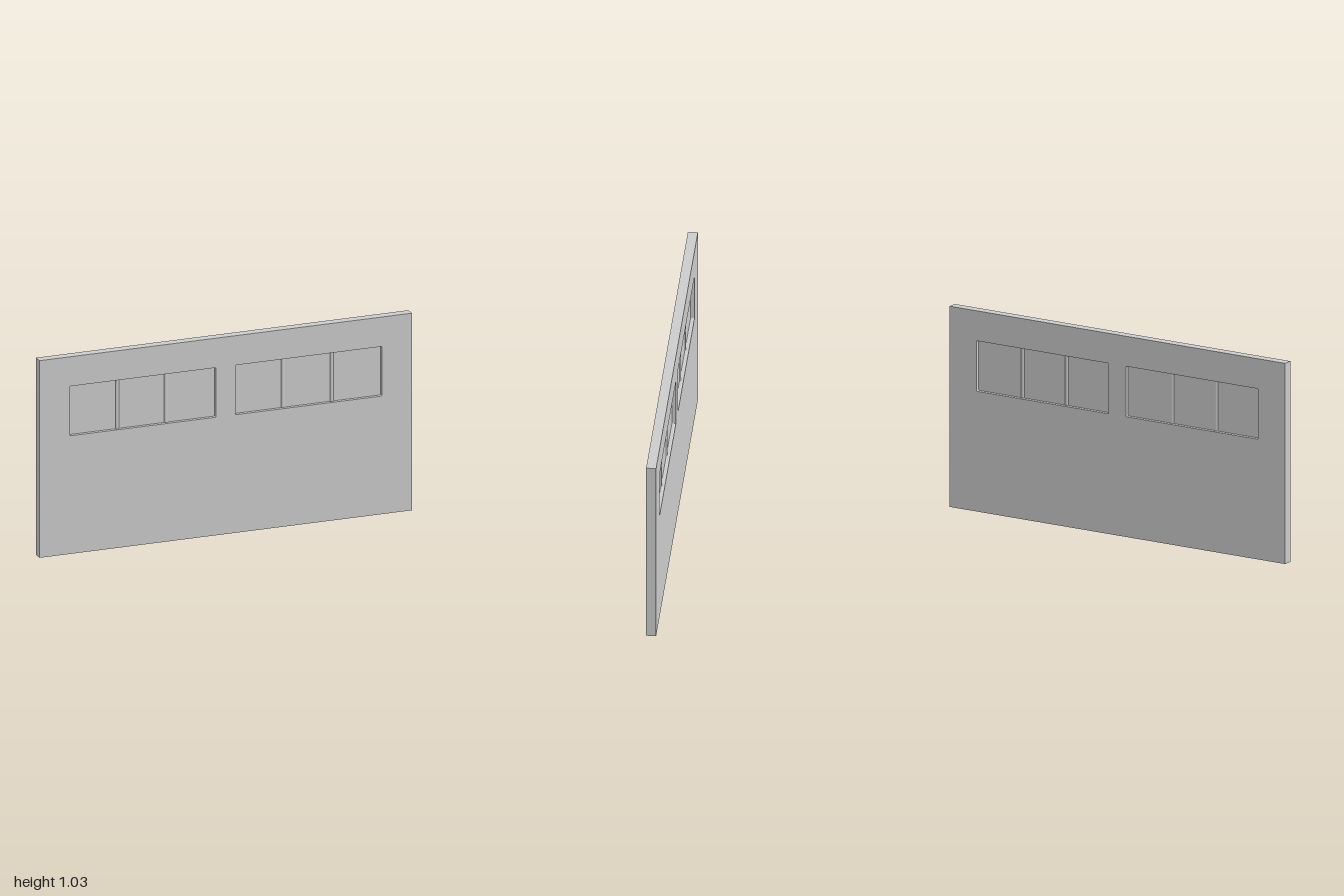
import * as THREE from 'three';

const HEIGHT = 1.035, DEPTH = 0.05;
const WIN = { cx: 0.445, w: 0.786, y0: 0.62, y1: 0.88, r: 0.006 };

// Traces a rounded rectangle onto a shape or hole path
function roundedRect(path, x0, y0, x1, y1, r) {
  path.moveTo(x0 + r, y0);
  path.lineTo(x1 - r, y0);
  path.quadraticCurveTo(x1, y0, x1, y0 + r);
  path.lineTo(x1, y1 - r);
  path.quadraticCurveTo(x1, y1, x1 - r, y1);
  path.lineTo(x0 + r, y1);
  path.quadraticCurveTo(x0, y1, x0, y1 - r);
  path.lineTo(x0, y0 + r);
  path.quadraticCurveTo(x0, y0, x0 + r, y0);
  return path;
}

export function createModel() {
  const group = new THREE.Group();
  const material = new THREE.MeshStandardMaterial({ color: 0xcccccc });
  const add = (parent, name, geometry, x = 0, y = 0, z = 0) => {
    const mesh = new THREE.Mesh(geometry, material);
    mesh.name = name;
    mesh.position.set(x, y, z);
    parent.add(mesh);
    return mesh;
  };

  // Wall slab with two window openings
  const outline = new THREE.Shape();
  outline.moveTo(-1, 0);
  outline.lineTo(1, 0);
  outline.lineTo(1, HEIGHT);
  outline.lineTo(-1, HEIGHT);
  outline.closePath();
  for (const side of [-1, 1]) {
    const c = side * WIN.cx;
    outline.holes.push(roundedRect(new THREE.Path(), c - WIN.w / 2, WIN.y0, c + WIN.w / 2, WIN.y1, WIN.r));
  }
  const wall = new THREE.ExtrudeGeometry(outline, { depth: DEPTH, bevelEnabled: false, curveSegments: 4 });
  add(group, 'wall', wall, 0, 0, -DEPTH / 2);

  // Each window: a recessed pane split in three by slim mullions
  const h = WIN.y1 - WIN.y0, cy = (WIN.y0 + WIN.y1) / 2;
  for (const side of [-1, 1]) {
    const windowGroup = new THREE.Group();
    windowGroup.name = side > 0 ? 'leftWindow' : 'rightWindow';
    windowGroup.position.set(side * WIN.cx, cy, 0);
    add(windowGroup, 'pane', new THREE.BoxGeometry(WIN.w, h, 0.01));
    for (const k of [-1, 1]) {
      add(windowGroup, 'mullion', new THREE.CylinderGeometry(0.011, 0.011, h, 16), k * WIN.w / 6);
    }
    group.add(windowGroup);
  }
  return group;
}
